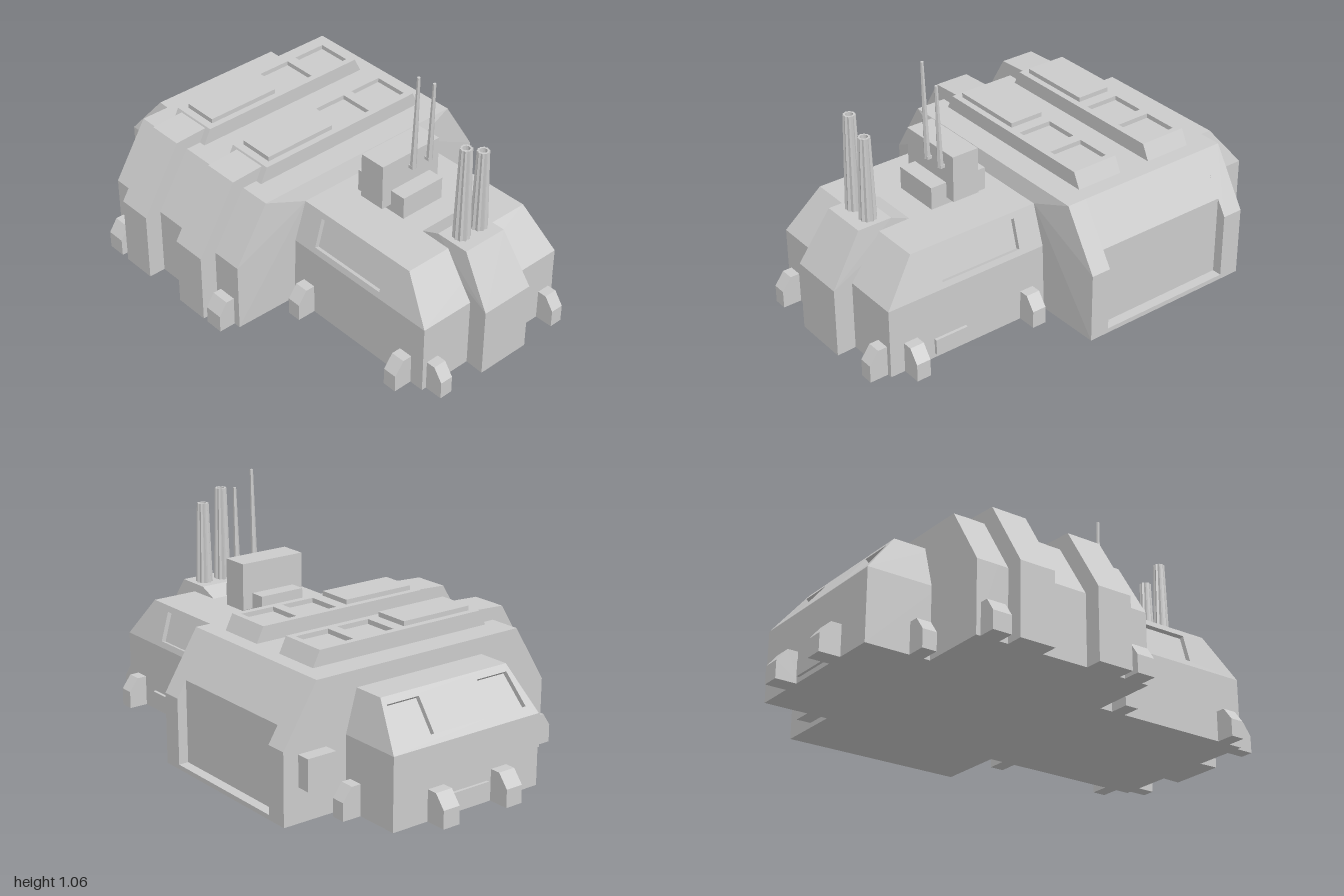
import * as THREE from 'three';
import { mergeGeometries } from 'three/addons/utils/BufferGeometryUtils.js';
import { ConvexGeometry } from 'three/addons/geometries/ConvexGeometry.js';

const mat = new THREE.MeshStandardMaterial({ color: 0xcccccc, flatShading: true });
const V = (x, y, z) => new THREE.Vector3(x, y, z);
const P = (pts) => pts.map(([x, y]) => new THREE.Vector2(x, y));

// Flat polygon facing away from `inside`, with optional recessed holes
function face(points, inside, holes = [], depth = 0.02) {
  const o = points[0];
  const u = points[1].clone().sub(o).normalize();
  const n = u.clone().cross(points[2].clone().sub(o)).normalize();
  if (n.dot(o.clone().sub(inside)) < 0) n.negate();
  const v = n.clone().cross(u);
  const flat = (p) => {
    const d = p.clone().sub(o);
    return new THREE.Vector2(d.dot(u), d.dot(v));
  };
  const shape = new THREE.Shape(points.map(flat));
  const parts = [];
  for (const hole of holes) {
    const h = hole.map(flat);
    if (THREE.ShapeUtils.isClockWise(h)) h.reverse();
    shape.holes.push(new THREE.Path(h));
    parts.push(new THREE.ShapeGeometry(new THREE.Shape(h)).translate(0, 0, -depth).toNonIndexed());
    const wall = [];
    h.forEach((a, i) => {
      const b = h[(i + 1) % h.length];
      wall.push(a.x, a.y, 0, b.x, b.y, 0, a.x, a.y, -depth);
      wall.push(b.x, b.y, 0, b.x, b.y, -depth, a.x, a.y, -depth);
    });
    parts.push(new THREE.BufferGeometry().setAttribute('position', new THREE.Float32BufferAttribute(wall, 3)));
  }
  parts.push(new THREE.ShapeGeometry(shape).toNonIndexed());
  for (const g of parts) {
    g.deleteAttribute('uv');
    g.computeVertexNormals();
  }
  return mergeGeometries(parts).applyMatrix4(new THREE.Matrix4().makeBasis(u, v, n).setPosition(o));
}

// Profile in x/y extruded from z0 to z1
const prism = (pts, z0, z1) =>
  new THREE.ExtrudeGeometry(new THREE.Shape(P(pts)), { depth: z1 - z0, bevelEnabled: false }).translate(0, 0, z0);

const box = (x0, x1, y0, y1, z0, z1) =>
  new THREE.BoxGeometry(x1 - x0, y1 - y0, z1 - z0).translate((x0 + x1) / 2, (y0 + y1) / 2, (z0 + z1) / 2);

// End block with chamfered roof; s is +1 for the front and -1 for the back
const W = 0.363, WT = 0.313, H1 = 0.3, H2 = 0.475, ZE = 0.91, ZT = 0.77;
function endBlock(s, zIn, sideHole, endHoles) {
  const inside = V(0, 0.2, s * 0.6);
  const a = s * zIn, e = s * ZE, t = s * ZT;
  const parts = [
    face([V(-WT, H2, a), V(WT, H2, a), V(WT, H2, t), V(-WT, H2, t)], inside),
    face([V(-W, 0, a), V(W, 0, a), V(W, 0, e), V(-W, 0, e)], inside),
    face([V(-W, 0, e), V(W, 0, e), V(W, H1, e), V(-W, H1, e)], inside),
    face([V(-W, H1, e), V(W, H1, e), V(WT, H2, t), V(-WT, H2, t)], inside, endHoles),
  ];
  for (const m of [1, -1]) {
    const hole = sideHole.map((p) => V(m * p.x, p.y, p.z));
    parts.push(face([V(m * W, 0, a), V(m * W, 0, e), V(m * W, H1, e), V(m * W, H1, a)], inside));
    parts.push(face([V(m * W, H1, a), V(m * W, H1, e), V(m * WT, H2, t), V(m * WT, H2, a)], inside,
      hole.length ? [hole] : []));
  }
  return mergeGeometries(parts);
}

// Tapered fluted pipe with a hollow mouth
function pipe(height) {
  const star = new THREE.Shape(P(Array.from({ length: 20 }, (_, i) => {
    const a = (i / 20) * Math.PI * 2, r = i % 2 ? 0.031 : 0.037;
    return [Math.cos(a) * r, Math.sin(a) * r];
  })));
  star.holes.push(new THREE.Path().absarc(0, 0, 0.022, 0, Math.PI * 2, true));
  const g = new THREE.ExtrudeGeometry(star, { depth: height, bevelEnabled: false, curveSegments: 8 }).rotateX(-Math.PI / 2);
  const core = new THREE.CylinderGeometry(0.023, 0.023, height - 0.02, 10).translate(0, height / 2 - 0.01, 0).toNonIndexed();
  const all = mergeGeometries([g, core]);
  const p = all.attributes.position;
  for (let i = 0; i < p.count; i++) {
    const k = 1 - 0.3 * (p.getY(i) / height);
    p.setXYZ(i, p.getX(i) * k, p.getY(i), p.getZ(i) * k);
  }
  all.computeVertexNormals();
  return all;
}

export function createModel() {
  const group = new THREE.Group();
  group.position.x = 0.0365;
  const add = (name, geo, x = 0, y = 0, z = 0) => {
    const m = new THREE.Mesh(geo, mat);
    m.name = name;
    m.position.set(x, y, z);
    group.add(m);
    return m;
  };

  // Main hall: full profile at both ends, open door bay on the left between them
  const hall = [[-0.6525, 0], [0.6525, 0], [0.6525, 0.3], [0.5, 0.545], [-0.5, 0.545], [-0.6525, 0.3]];
  const bay = [[-0.6525, 0], [0.6525, 0], [0.6525, 0.02], [0.61, 0.02], [0.61, 0.368], [0.5, 0.545], [-0.5, 0.545], [-0.6525, 0.3]];
  add('hallRear', prism(hall, -0.632, -0.54));
  add('hallDoorBay', prism(bay, -0.54, 0.073));
  add('hallFront', prism(hall, 0.073, 0.16));
  const collar = hall.map(([x, y]) => V(x, y, 0.16));
  for (const m of [-1, 1]) collar.push(V(m * W, 0, 0.165), V(m * W, H1, 0.172), V(m * WT, H2, 0.18));
  add('hallFrontCollar', new ConvexGeometry(collar));
  add('hallRearBox', box(0.455, 0.585, 0.145, 0.275, -0.69, -0.62));

  // Side ribs and roof strips with one raised and two sunken panels
  const rib = [[-0.7265, 0], [-0.6, 0], [-0.6, 0.3], [-0.43, 0.53], [-0.43, 0.55], [-0.4, 0.603], [-0.55, 0.595], [-0.7265, 0.305]];
  for (const z of [-0.415, -0.056]) {
    add('sideRib', prism(rib, z - 0.078, z + 0.078));
    const a = z - 0.106, b = z + 0.106, y0 = 0.54, y1 = 0.61, inside = V(0, 0.57, z);
    const rect = (x0, x1) => [V(x0, y1, z - 0.078), V(x1, y1, z - 0.078), V(x1, y1, z + 0.078), V(x0, y1, z + 0.078)];
    const strip = [face([V(-0.4, y1, a), V(0.4, y1, a), V(0.4, y1, b), V(-0.4, y1, b)], inside,
      [rect(0.022, 0.175), rect(0.22, 0.375)], 0.02)];
    for (const e of [a, b]) strip.push(face([V(-0.435, y0, e), V(0.435, y0, e), V(0.4, y1, e), V(-0.4, y1, e)], inside));
    for (const m of [-1, 1]) strip.push(face([V(m * 0.435, y0, a), V(m * 0.435, y0, b), V(m * 0.4, y1, b), V(m * 0.4, y1, a)], inside));
    add('roofStrip', mergeGeometries(strip));
    add('roofPanel', box(-0.367, -0.03, 0.6, 0.63, z - 0.078, z + 0.078));
  }

  // Front and rear blocks with recessed windows
  const onSide = (y, z) => V(W - ((y - H1) / (H2 - H1)) * (W - WT), y, z);
  const onEnd = (x, z) => V(x, H1 + ((ZE - Math.abs(z)) / (ZE - ZT)) * (H2 - H1), z);
  const sideWindow = [onSide(0.325, 0.285), onSide(0.325, 0.655), onSide(0.45, 0.655), onSide(0.45, 0.285)];
  const rearWindows = [1, -1].map((m) => [onEnd(m * 0.315, -0.885), onEnd(m * 0.15, -0.885), onEnd(m * 0.145, -0.79), onEnd(m * 0.298, -0.79)]);
  add('frontBlock', endBlock(1, 0.15, sideWindow, []));
  add('rearBlock', endBlock(-1, 0.6, [], rearWindows));

  // Prow: side profile lofted to a half-width that narrows upward
  const prow = [[0.995, 0, 0.122], [0.995, 0.3, 0.122], [0.86, 0.51, 0.103], [0.71, 0.51, 0.103], [0.62, 0.472, 0.103], [0.62, 0, 0.103]];
  add('prow', new ConvexGeometry(prow.flatMap(([z, y, w]) => [V(w, y, z), V(-w, y, z)])));

  // Exhaust pipes
  add('exhaustPipe', pipe(0.42), -0.0475, 0.5, 0.78);
  add('exhaustPipe', pipe(0.365), 0.0475, 0.5, 0.78);

  // Roof unit with two antennas
  add('roofUnitBase', box(-0.105, 0.105, 0.46, 0.572, 0.262, 0.522));
  add('roofUnit', box(-0.152, 0.152, 0.505, 0.705, 0.33, 0.45));
  for (const [x, top] of [[0, 1.063], [0.088, 0.997]]) {
    const h = top - 0.64;
    const mast = add('antenna', new THREE.CylinderGeometry(0.007, 0.014, h, 6), x, 0.64 + h / 2, 0.469);
    mast.rotation.x = 0.03;
    add('antennaBracket', box(x - 0.013, x + 0.013, 0.638, 0.652, 0.44, 0.472));
  }

  // Feet around the base; angle turns each one outward
  const foot = (x, z, angle, width, reach) => {
    const g = prism([[-0.02, 0], [reach, 0], [reach, 0.075], [reach * 0.5, 0.13], [-0.02, 0.13]], -width / 2, width / 2);
    add('foot', g, x, 0, z).rotation.y = angle;
  };
  for (const m of [1, -1]) {
    for (const z of [0.255, 0.815, -0.69]) foot(m * W, z, m > 0 ? 0 : Math.PI, 0.062, 0.083);
    foot(m * 0.313, ZE, -Math.PI / 2, 0.058, 0.08);
    foot(m * 0.158, -ZE, Math.PI / 2, 0.078, 0.09);
  }
  for (const z of [-0.572, 0.088]) foot(-0.6525, z, Math.PI, 0.082, 0.074);

  // Low vent plates
  add('sideVent', box(0.35, 0.376, 0.02, 0.087, 0.555, 0.705));
  add('rearVent', box(-0.1, 0.1, 0.02, 0.087, -0.922, -0.9));

  const model = new THREE.Group();
  model.name = 'fortifiedBase';
  model.add(group);
  return model;
}
